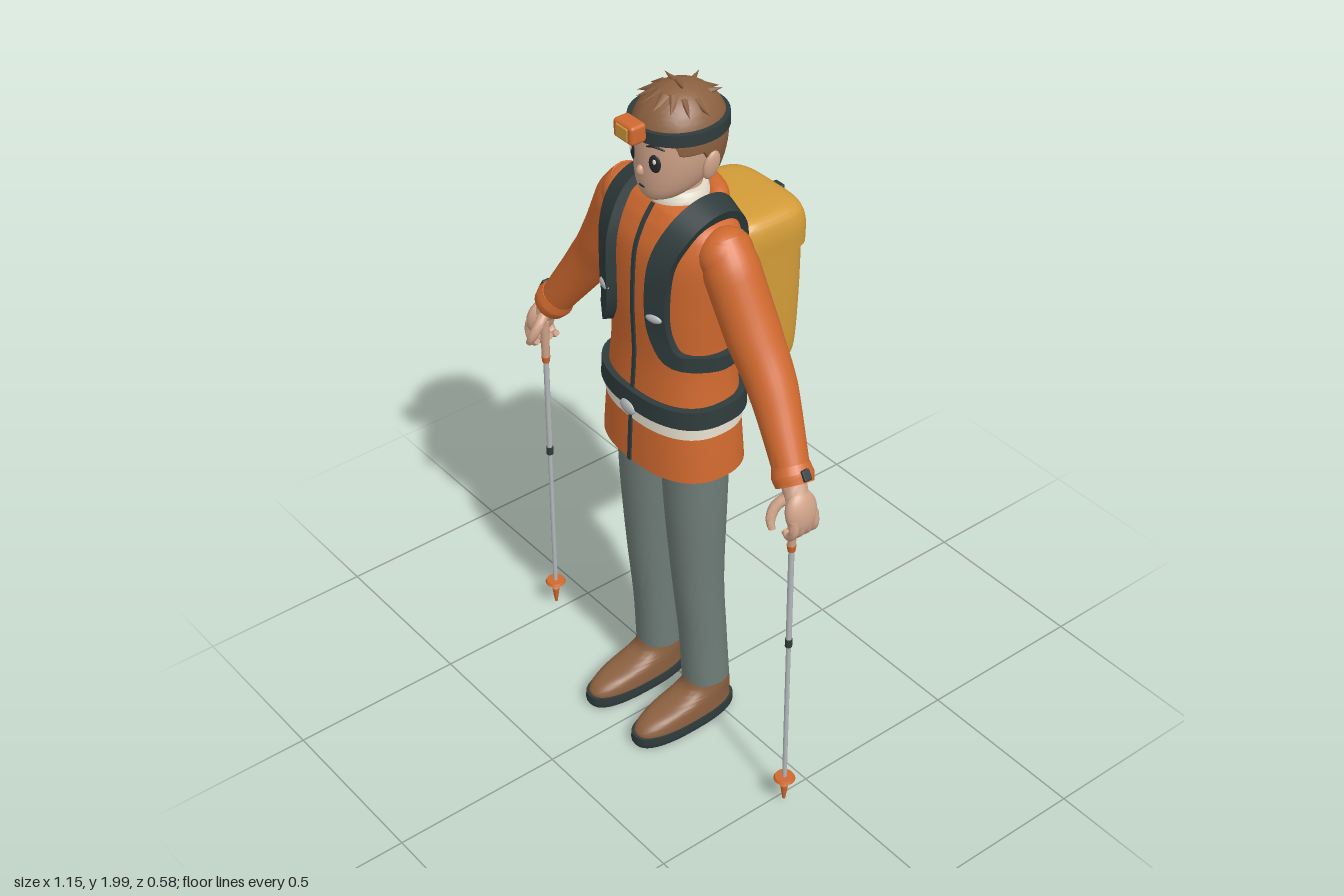
import * as THREE from 'three';
import { toCreasedNormals } from 'three/addons/utils/BufferGeometryUtils.js';
import { RoundedBoxGeometry } from 'three/addons/geometries/RoundedBoxGeometry.js';

const V = (x, y, z) => new THREE.Vector3(x, y, z);
const mat = (name, color) => Object.assign(new THREE.MeshStandardMaterial({ color, side: THREE.DoubleSide }), { name });

// Closed skin over a row of equal rings, capped at both ends
function skin(rings) {
  const n = rings[0].length, pos = [], idx = [];
  rings.forEach(r => r.forEach(p => pos.push(p.x, p.y, p.z)));
  for (let i = 0; i < rings.length - 1; i++) for (let j = 0; j < n; j++) {
    const a = i * n + j, b = i * n + (j + 1) % n;
    idx.push(a, a + n, b, b, a + n, b + n);
  }
  [0, rings.length - 1].forEach((i, top) => {
    const c = rings[i].reduce((s, p) => s.add(p), V(0, 0, 0)).divideScalar(n), k = pos.length / 3;
    pos.push(c.x, c.y, c.z);
    for (let j = 0; j < n; j++) {
      const a = i * n + j, b = i * n + (j + 1) % n;
      idx.push(k, top ? b : a, top ? a : b);
    }
  });
  const g = new THREE.BufferGeometry();
  g.setAttribute('position', new THREE.Float32BufferAttribute(pos, 3));
  g.setIndex(idx);
  return toCreasedNormals(g, 0.75);
}

const spline = pts => new THREE.CatmullRomCurve3(pts, false, 'catmullrom', 0.5);

// Upright loft; each section is [y, centreX, centreZ, radiusX, radiusZ], power sets squareness
function loft(sections, power = 2, seg = 40, steps = 5) {
  const mid = spline(sections.map(s => V(s[1], s[0], s[2])));
  const rad = spline(sections.map(s => V(s[3], 0, s[4])));
  const count = (sections.length - 1) * steps, rings = [];
  const bend = v => Math.sign(v) * Math.abs(v) ** (2 / power);
  for (let i = 0; i <= count; i++) {
    const c = mid.getPoint(i / count), r = rad.getPoint(i / count);
    rings.push(Array.from({ length: seg }, (_, j) => {
      const a = j / seg * Math.PI * 2;
      return V(c.x + r.x * bend(Math.cos(a)), c.y, c.z + r.z * bend(Math.sin(a)));
    }));
  }
  return skin(rings);
}

const at = (list, t) => {
  const f = t * (list.length - 1), i = Math.min(Math.floor(f), list.length - 2);
  return list[i] + (list[i + 1] - list[i]) * (f - i);
};

// Round limb with a radius at each path point
function limb(pts, radii, seg = 20, steps = 6) {
  const curve = spline(pts), count = (pts.length - 1) * steps;
  return skin(Array.from({ length: count + 1 }, (_, i) => {
    const t = i / count, p = curve.getPoint(t), T = curve.getTangent(t), r = at(radii, t);
    const A = V(0.1, 0.2, 1).addScaledVector(T, -T.dot(V(0.1, 0.2, 1))).normalize();
    const B = A.clone().cross(T);
    return Array.from({ length: seg }, (_, j) => {
      const a = j / seg * Math.PI * 2;
      return p.clone().addScaledVector(A, r * Math.cos(a)).addScaledVector(B, r * Math.sin(a));
    });
  }));
}

// Flat strap lying on the torso
function strap(pts, halfWidths, thick) {
  const curve = spline(pts), count = (pts.length - 1) * 5;
  return skin(Array.from({ length: count + 1 }, (_, i) => {
    const t = i / count, p = curve.getPoint(t), T = curve.getTangent(t), w = at(halfWidths, t);
    const N = p.clone().sub(V(p.x * 0.5, Math.min(p.y, 1.5), 0.06));
    N.addScaledVector(T, -N.dot(T)).normalize();
    const S = T.clone().cross(N);
    return [[1, 1], [-1, 1], [-1, -1], [1, -1]].map(([a, b]) =>
      p.clone().addScaledVector(S, a * w).addScaledVector(N, b * thick / 2));
  }));
}

// Hair shell whose lower edge drops from forehead to nape
function hairShell() {
  const ss = (a, b, x) => { const t = Math.min(1, Math.max(0, (x - a) / (b - a))); return t * t * (3 - 2 * t); };
  const rows = 24, rings = [];
  for (let i = 0; i <= rows; i++) rings.push(Array.from({ length: 72 }, (_, j) => {
    const a = j / 72 * Math.PI * 2, d = Math.sin(a), v = 1 - i / rows;
    const low = 1.885 - 0.052 * ss(0.72, 0.55, d) - 0.09 * ss(0.1, -0.25, d);
    const y = 1.985 - (1.985 - low) * v ** 1.6;
    let k = y > 1.86 ? Math.sqrt(Math.max(0, 1 - ((y - 1.86) / 0.125) ** 2)) : 1 - ((1.86 - y) / 0.12) ** 2 * 0.22;
    if (i === 0) k *= 0.9;
    return V(0.113 * k * Math.cos(a), y, 0.04 + 0.127 * k * d);
  }));
  return skin(rings.slice(0, -1));
}

export function createModel() {
  const model = new THREE.Group();
  const orange = mat('jacket orange', 0xd0692f), yellow = mat('pack yellow', 0xd39c38), grey = mat('trouser grey', 0x6f7d78);
  const dark = mat('strap charcoal', 0x2f3b3c), skinTone = mat('skin', 0xcfa288), brown = mat('brown', 0x8b6040);
  const cream = mat('cream', 0xe3dccb), metal = mat('metal', 0xb4b8ba), black = mat('eye black', 0x26282b);
  const add = (name, geo, material, p = [0, 0, 0], scale = [1, 1, 1], rot = [0, 0, 0]) => {
    const m = new THREE.Mesh(geo, material);
    m.name = name; m.position.set(...p); m.scale.set(...scale); m.rotation.set(...rot);
    model.add(m);
    return m;
  };
  const ball = new THREE.SphereGeometry(1, 24, 16);
  const cyl = (r1, r2, h, n = 12) => new THREE.CylinderGeometry(r1, r2, h, n);

  // Jacket, with stripe, zip, collar and rolled hood
  const torso = [[0.92, 0, 0.063, 0.213, 0.146], [1.0, 0, 0.063, 0.207, 0.142], [1.1, 0, 0.062, 0.198, 0.137],
    [1.25, 0, 0.06, 0.186, 0.127], [1.4, 0, 0.06, 0.194, 0.13], [1.55, 0, 0.058, 0.205, 0.124],
    [1.62, 0, 0.05, 0.202, 0.108], [1.655, 0, 0.046, 0.175, 0.09], [1.675, 0, 0.042, 0.12, 0.078], [1.685, 0, 0.04, 0.07, 0.06]];
  add('jacket', loft(torso, 2.4, 56), orange);
  add('jacketStripe', loft([[1.055, 0, 0.0625, 0.205, 0.1425], [1.085, 0, 0.0622, 0.2025, 0.141]], 2.4, 56), cream);
  add('zip', strap(torso.slice(0, 9).map(s => V(0, s[0], s[2] + s[4] + 0.002)), [0.006, 0.006], 0.006), dark);
  add('collar', loft([[1.665, 0, 0.04, 0.084, 0.08], [1.69, 0, 0.04, 0.08, 0.076], [1.71, 0, 0.038, 0.07, 0.068]]), cream);
  add('hood', limb([V(-0.1, 1.66, 0.03), V(-0.07, 1.672, -0.025), V(0, 1.675, -0.045), V(0.07, 1.672, -0.025), V(0.1, 1.66, 0.03)],
    [0.015, 0.03, 0.034, 0.03, 0.015]), orange);

  // Waist belt
  add('waistBelt', loft([[1.095, 0, 0.062, 0.217, 0.152], [1.148, 0, 0.062, 0.214, 0.15]], 2.4, 56), dark);
  add('beltBuckle', ball, metal, [0, 1.092, 0.212], [0.03, 0.021, 0.012]);

  // Backpack
  add('packBody', loft([[1.12, 0, -0.138, 0.115, 0.085], [1.132, 0, -0.142, 0.136, 0.103], [1.17, 0, -0.147, 0.147, 0.114],
    [1.32, 0, -0.151, 0.151, 0.119], [1.5, 0, -0.153, 0.151, 0.121]], 4, 56), yellow);
  add('packLid', loft([[1.48, 0, -0.157, 0.157, 0.127], [1.54, 0, -0.157, 0.157, 0.127], [1.58, 0, -0.154, 0.147, 0.118],
    [1.597, 0, -0.15, 0.125, 0.098], [1.602, 0, -0.15, 0.09, 0.07]], 4, 56), yellow);
  add('lidStrap', new RoundedBoxGeometry(0.036, 0.15, 0.014, 2, 0.005), dark, [0, 1.5, -0.286]);
  add('lidStrapTop', new RoundedBoxGeometry(0.036, 0.012, 0.035, 2, 0.005), dark, [0, 1.572, -0.272], [1, 1, 1], [-0.6, 0, 0]);
  add('lidBuckle', new RoundedBoxGeometry(0.034, 0.03, 0.018, 2, 0.006), metal, [0, 1.435, -0.28]);

  // Head, face and hair
  add('neck', cyl(0.055, 0.058, 0.12, 24), skinTone, [0, 1.71, 0.038]);
  add('head', loft([[1.692, 0, 0.1, 0.025, 0.035], [1.708, 0, 0.088, 0.054, 0.062], [1.74, 0, 0.066, 0.08, 0.092],
    [1.79, 0, 0.046, 0.099, 0.115], [1.85, 0, 0.04, 0.106, 0.119], [1.91, 0, 0.04, 0.098, 0.11], [1.965, 0, 0.04, 0.05, 0.06]]), skinTone);
  add('nose', ball, skinTone, [0, 1.782, 0.158], [0.011, 0.016, 0.014]);
  add('mouth', ball, black, [0, 1.738, 0.156], [0.012, 0.004, 0.004]);
  add('hair', hairShell(), brown);
  const tuft = new THREE.ConeGeometry(0.015, 0.055, 8);
  const tufts = [[-0.035, -0.035, 0], [0.045, -0.025, 0], [-0.085, 0.04, 1], [-0.075, 0.08, 1], [-0.045, 0.105, 1], [-0.015, 0.115, 1],
    [0.02, 0.118, 1], [0.05, 0.1, 1], [0.075, 0.075, 1], [0.085, 0.035, 1], [0.02, 0.05, 0], [-0.03, 0.04, 0], [0.0, -0.06, 1]];
  tufts.forEach(([x, z, down]) => {
    const k = Math.sqrt(1 - (x / 0.113) ** 2 - ((z - 0.04) / 0.127) ** 2);
    const out = V(x, 0, z - 0.04).normalize(), m = add('hairTuft', tuft, brown, [x, 1.86 + 0.125 * k + 0.002, z], [1, 1, 0.7]);
    m.quaternion.setFromUnitVectors(V(0, 1, 0), out.setY(down ? -0.35 : 0.25).normalize());
  });

  // Head lamp
  add('headBand', loft([[1.873, 0, 0.041, 0.122, 0.13], [1.905, 0, 0.041, 0.121, 0.129]], 2, 48), dark);
  add('lampBody', new RoundedBoxGeometry(0.076, 0.052, 0.048, 3, 0.01), orange, [0, 1.907, 0.191]);
  add('lampLens', new RoundedBoxGeometry(0.046, 0.036, 0.008, 2, 0.003), yellow, [0, 1.907, 0.214]);

  for (const s of [1, -1]) {
    const side = s > 0 ? 'left' : 'right';
    const P = (x, y, z) => V(s * x, y, z);
    const part = (name, geo, m, p, scale, rot) =>
      add(side + name, geo, m, p && [s * p[0], p[1], p[2]], scale, rot && [rot[0], s * rot[1], s * rot[2]]);

    // Ear, eye and brow
    part('Ear', ball, skinTone, [0.108, 1.797, 0.027], [0.012, 0.04, 0.024], [-0.2, 0, -0.12]);
    part('Eye', ball, black, [0.042, 1.815, 0.149], [0.017, 0.025, 0.006], [0, 0.35, 0]);
    part('EyeGlint', ball, cream, [0.046, 1.823, 0.154], [0.005, 0.007, 0.003], [0, 0.35, 0]);
    part('Brow', limb([P(0.022, 1.858, 0.158), P(0.045, 1.865, 0.152), P(0.066, 1.857, 0.137)], [0.002, 0.004, 0.002], 8), black);

    // Shoulder strap with its slider
    part('Strap', strap([P(0.1, 1.45, -0.06), P(0.11, 1.59, -0.06), P(0.125, 1.67, -0.015), P(0.13, 1.688, 0.055),
      P(0.125, 1.652, 0.132), P(0.108, 1.57, 0.182), P(0.1, 1.45, 0.192), P(0.107, 1.36, 0.185), P(0.142, 1.297, 0.164),
      P(0.192, 1.28, 0.075), P(0.175, 1.28, -0.005), P(0.12, 1.28, -0.062)],
    [0.034, 0.034, 0.034, 0.034, 0.034, 0.032, 0.03, 0.028, 0.023, 0.021, 0.021, 0.021], 0.028), dark);
    part('StrapSlider', ball, metal, [0.1, 1.418, 0.203], [0.026, 0.013, 0.01], [0, 0.25, 0]);

    // Sleeve and cuff
    part('Shoulder', ball, orange, [0.193, 1.592, 0.05], [0.066, 0.072, 0.074]);
    part('Sleeve', limb([P(0.175, 1.63, 0.05), P(0.215, 1.56, 0.05), P(0.295, 1.405, 0.043), P(0.375, 1.285, 0.045), P(0.497, 1.105, 0.08)],
      [0.058, 0.074, 0.072, 0.064, 0.046], 28), orange);
    part('Cuff', limb([P(0.482, 1.13, 0.076), P(0.496, 1.108, 0.08), P(0.51, 1.088, 0.084)], [0.049, 0.055, 0.05], 24), orange);
    part('CuffTab', new RoundedBoxGeometry(0.014, 0.03, 0.024, 2, 0.004), dark, [0.543, 1.133, 0.078], [1, 1, 1], [0, 0, 0.56]);

    // Hand gripping the pole
    part('Wrist', limb([P(0.5, 1.1, 0.082), P(0.53, 1.055, 0.093)], [0.034, 0.032]), skinTone);
    part('Palm', ball, skinTone, [0.546, 1.03, 0.093], [0.027, 0.06, 0.048], [0, 0, 0.2]);
    for (let f = 0; f < 4; f++) {
      const z = 0.06 + f * 0.022;
      part('Finger', limb([P(0.556, 1.02, z), P(0.559, 0.985, z), P(0.542, 0.962, z), P(0.523, 0.97, z)], [0.013, 0.013, 0.012, 0.009], 10, 4), skinTone);
    }
    part('Thumb', limb([P(0.515, 1.065, 0.1), P(0.5, 1.04, 0.135), P(0.503, 1.01, 0.155), P(0.515, 0.985, 0.16)],
      [0.016, 0.015, 0.013, 0.009], 12), skinTone);

    // Walking pole
    part('PoleGrip', cyl(0.014, 0.011, 0.13), skinTone, [0.523, 0.965, 0.1]);
    part('PoleCollar', cyl(0.013, 0.01, 0.02), orange, [0.523, 0.9, 0.1]);
    part('PoleUpper', cyl(0.008, 0.008, 0.34), metal, [0.523, 0.74, 0.1]);
    part('PoleJoint', cyl(0.01, 0.01, 0.025), dark, [0.523, 0.58, 0.1]);
    part('PoleLower', cyl(0.0065, 0.0065, 0.53), metal, [0.523, 0.315, 0.1]);
    part('PoleBasket', cyl(0.026, 0.03, 0.008, 20), orange, [0.523, 0.09, 0.1]);
    part('PoleTip', cyl(0.011, 0.004, 0.05), orange, [0.523, 0.035, 0.1]);

    // Trouser leg and boot
    part('Leg', loft([[0.14, s * 0.104, 0.036, 0.063, 0.066], [0.3, s * 0.102, 0.045, 0.063, 0.066], [0.5, s * 0.1, 0.06, 0.067, 0.071],
      [0.75, s * 0.097, 0.066, 0.08, 0.083], [0.96, s * 0.093, 0.066, 0.09, 0.09]], 2.2), grey);
    part('Boot', loft([[0.03, s * 0.105, 0.12, 0.058, 0.163], [0.055, s * 0.105, 0.118, 0.058, 0.158], [0.078, s * 0.105, 0.098, 0.057, 0.138],
      [0.098, s * 0.105, 0.062, 0.055, 0.1], [0.12, s * 0.105, 0.04, 0.053, 0.074], [0.16, s * 0.105, 0.036, 0.05, 0.062]], 2.4), brown);
    part('Sole', loft([[0, s * 0.105, 0.12, 0.054, 0.158], [0.012, s * 0.105, 0.12, 0.062, 0.17], [0.04, s * 0.105, 0.12, 0.062, 0.17]], 2.5), dark);
  }
  return model;
}
